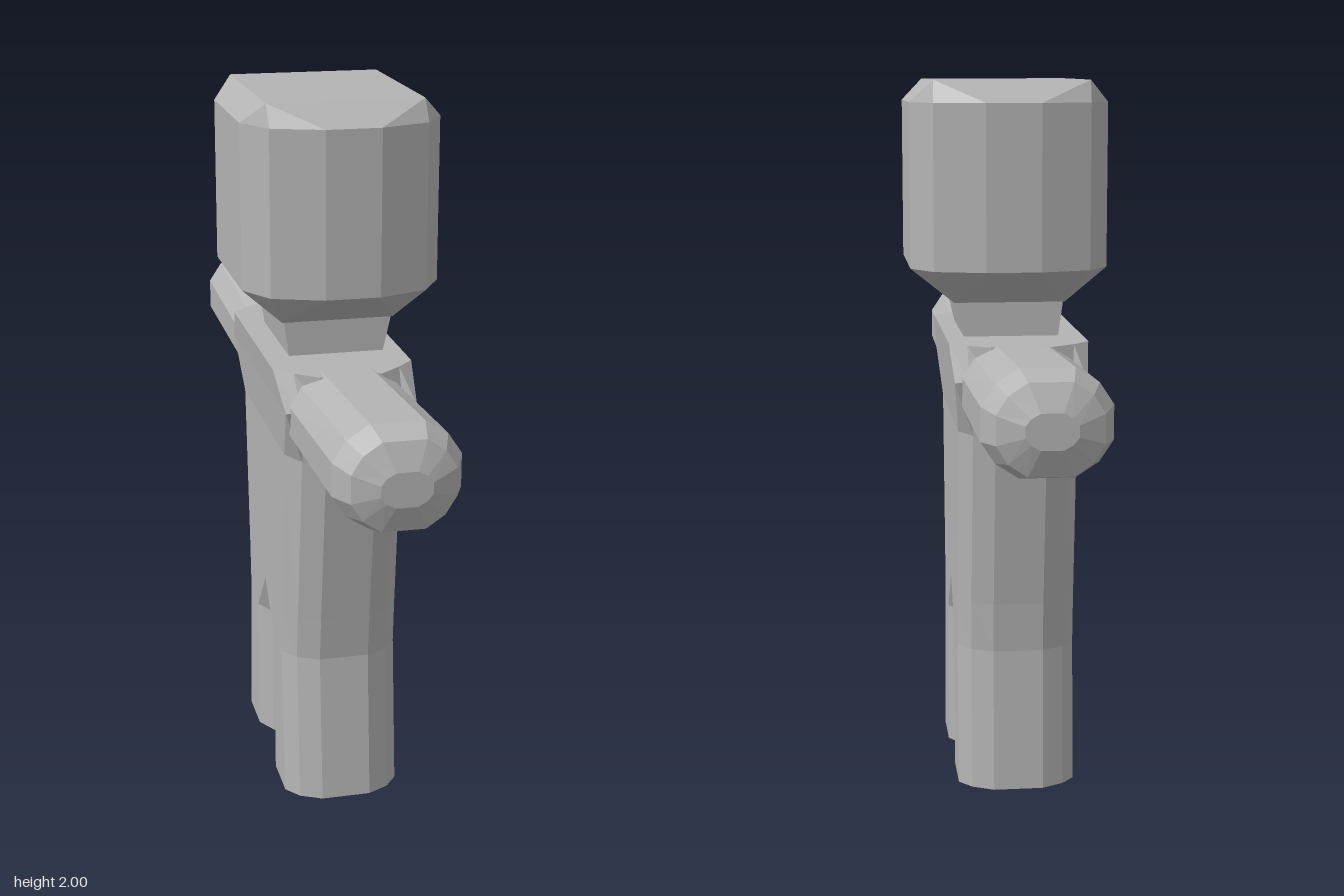
import * as THREE from 'three';

// Twelve-sided rounded cross-section from six ascending x levels and six z levels.
function ring(y, xs, zs) {
  const ix = [5, 4, 3, 2, 1, 0, 0, 1, 2, 3, 4, 5];
  const iz = [3, 4, 5, 5, 4, 3, 2, 1, 0, 0, 1, 2];
  return ix.map((a, i) => new THREE.Vector3(xs[a], y, zs[iz[i]]));
}

// Six levels spread evenly around a centre.
const levels = (c, outer, mid, inner) =>
  [c - outer, c - mid, c - inner, c + inner, c + mid, c + outer];

// Capped skin over a stack of rings, skipping collapsed triangles.
function loft(rings) {
  const pos = [];
  const tri = (a, b, c) => {
    const n = b.clone().sub(a).cross(c.clone().sub(a));
    if (n.length() > 1e-7) for (const p of [a, b, c]) pos.push(p.x, p.y, p.z);
  };
  for (let r = 0; r + 1 < rings.length; r++) {
    const lo = rings[r], hi = rings[r + 1];
    for (let i = 0; i < lo.length; i++) {
      const j = (i + 1) % lo.length;
      tri(lo[i], hi[i], hi[j]);
      tri(lo[i], hi[j], lo[j]);
    }
  }
  const bottom = rings[0], top = rings[rings.length - 1];
  for (let i = 1; i + 1 < bottom.length; i++) {
    tri(bottom[0], bottom[i], bottom[i + 1]);
    tri(top[0], top[i + 1], top[i]);
  }
  const g = new THREE.BufferGeometry();
  g.setAttribute('position', new THREE.Float32BufferAttribute(pos, 3));
  g.computeVertexNormals();
  return g;
}

export function createModel() {
  const model = new THREE.Group();
  const grey = new THREE.MeshStandardMaterial({ color: 0xb4b4b4, flatShading: true });
  grey.name = 'plain grey';
  const add = (name, geometry) => {
    const mesh = new THREE.Mesh(geometry, grey);
    mesh.name = name;
    model.add(mesh);
  };

  // Head: chamfered block narrowing to rectangles at the crown and the neck
  const headX = levels(0, 0.272, 0.213, 0.075);
  const headZ = [-0.31, -0.27, -0.18, 0.21, 0.31, 0.36];
  const rect = (y, x0, x1, z0, z1) =>
    ring(y, [x0, x0, x0, x1, x1, x1], [z0, z0, z0, z1, z1, z1]);
  add('head', loft([
    rect(1.39, -0.16, 0.15, -0.15, 0.2),
    ring(1.49, headX, headZ),
    ring(1.94, headX, headZ),
    rect(2.0, -0.215, 0.21, -0.24, 0.28),
  ]));

  // Neck
  add('neck', loft([
    rect(1.28, -0.14, 0.12, -0.15, 0.2),
    rect(1.39, -0.155, 0.145, -0.15, 0.2),
  ]));

  // Each leg runs up into its half of the torso; the halves join above the crotch notch
  const legX = levels(-0.015, 0.165, 0.13, 0.07);
  const chestX = levels(-0.015, 0.18, 0.14, 0.08);
  const shoulderX = levels(-0.0175, 0.192, 0.145, 0.085);
  const s = 0.02;
  add('leftLegAndTorsoHalf', loft([
    ring(0, legX, [0.07, 0.1, 0.15, 0.29, 0.335, 0.365]),
    ring(0.43, legX, [s, 0.07, 0.14, 0.25, 0.3, 0.33]),
    ring(0.56, legX, [s, s, s, 0.26, 0.315, 0.345]),
    ring(1.05, legX, [s, s, s, 0.31, 0.38, 0.41]),
    ring(1.2, chestX, [s, s, s, 0.41, 0.41, 0.41]),
    ring(1.295, shoulderX, [s, s, s, 0.31, 0.36, 0.41]),
  ]));
  add('rightLegAndTorsoHalf', loft([
    ring(0.015, legX, [-0.31, -0.28, -0.24, -0.1, -0.04, -0.01]),
    ring(0.42, legX, [-0.29, -0.26, -0.21, -0.1, -0.03, s]),
    ring(0.56, legX, [-0.3, -0.275, -0.22, s, s, s]),
    ring(1.05, legX, [-0.36, -0.335, -0.27, s, s, s]),
    ring(1.2, chestX, [-0.36, -0.36, -0.36, s, s, s]),
    ring(1.295, shoulderX, [-0.36, -0.32, -0.27, s, s, s]),
  ]));

  // Arms: straight rounded bars with domed ends, lofted upright then laid along z
  for (const side of [1, -1]) {
    const arm = (reach, height, wide, tall) => ring(reach,
      levels(-0.018, wide, wide * 0.78, wide * 0.42),
      levels(-side * height, tall, tall * 0.72, tall * 0.32));
    const geometry = loft([
      arm(0.25, 1.172, 0.163, 0.12),
      arm(side > 0 ? 0.41 : 0.36, 1.174, 0.163, 0.124),
      arm(0.885, 1.19, 0.163, 0.136),
      arm(0.955, 1.187, 0.132, 0.115),
      arm(0.983, 1.187, 0.065, 0.045),
    ]);
    geometry.rotateX(side * Math.PI / 2);
    add(side > 0 ? 'leftArm' : 'rightArm', geometry);
  }
  return model;
}
